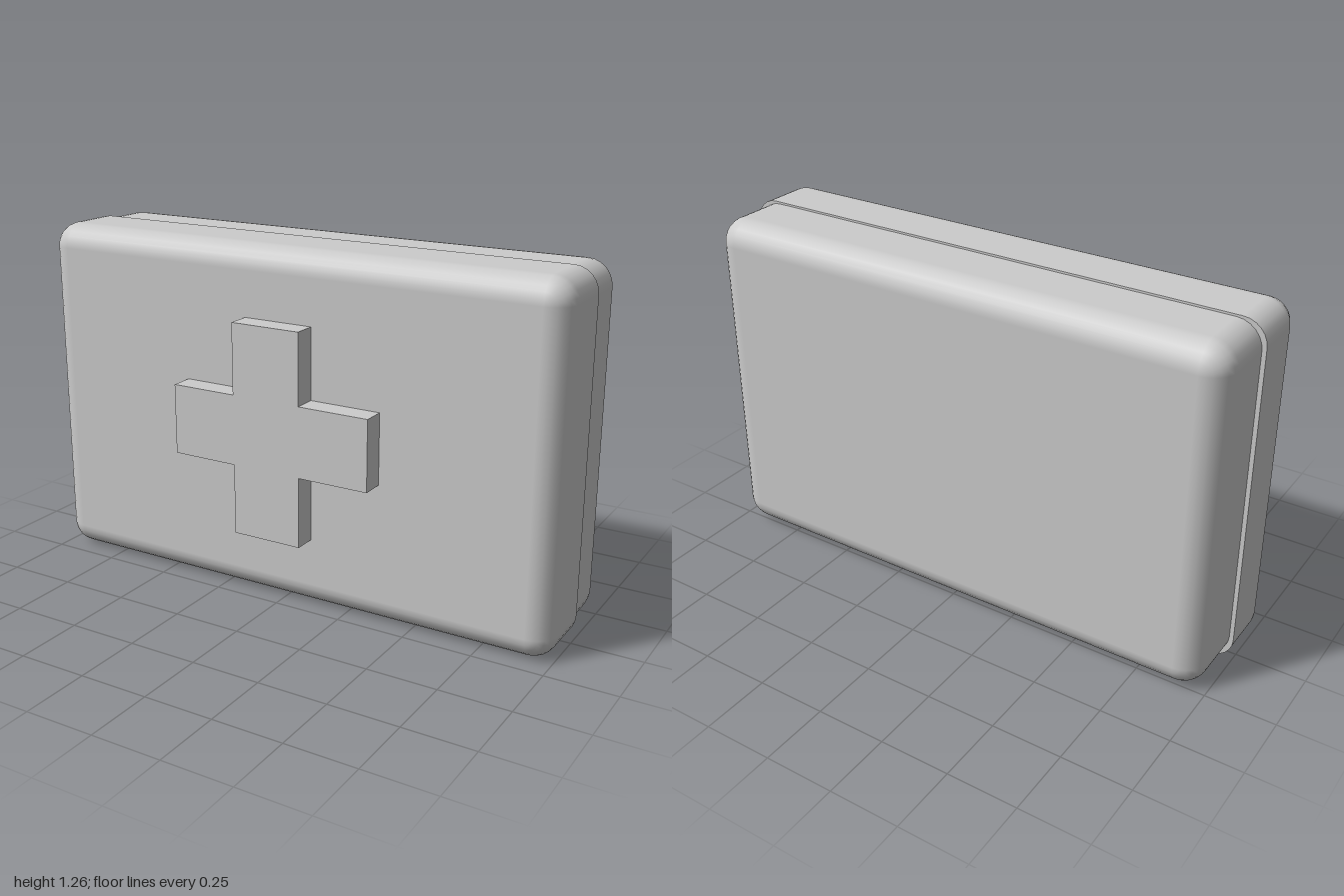
import * as THREE from 'three';

const material = new THREE.MeshStandardMaterial({ color: 0xcccccc });

// Half of a case: flat at z = 0, straight walls, rounded edges and corners at z = depth
function halfShell(name, width, height, depth, radius) {
  const steps = 6, position = [], normal = [], index = [];
  const cx = width / 2 - radius, cy = height / 2 - radius;
  const ring = 4 * (steps + 1);

  // One rounded-rectangle cross-section; tilt turns it from the wall (0) to the face (90 degrees)
  function addRing(z, tilt, flat) {
    for (let q = 0; q < 4; q++) {
      const sx = q === 0 || q === 3 ? 1 : -1, sy = q < 2 ? 1 : -1;
      for (let i = 0; i <= steps; i++) {
        const a = (q + i / steps) * Math.PI / 2;
        const nx = Math.cos(a) * Math.cos(tilt), ny = Math.sin(a) * Math.cos(tilt);
        position.push(sx * cx + radius * nx, sy * cy + radius * ny, z);
        normal.push(...(flat ? [0, 0, -1] : [nx, ny, Math.sin(tilt)]));
      }
    }
  }

  // Walls and rounded edge
  addRing(0, 0);
  for (let k = 0; k <= steps; k++) {
    const tilt = k / steps * Math.PI / 2;
    addRing(depth - radius + radius * Math.sin(tilt), tilt);
  }
  const last = steps + 1;
  for (let k = 0; k < last; k++) {
    for (let i = 0; i < ring; i++) {
      const a = k * ring + i, b = k * ring + (i + 1) % ring;
      index.push(a, b, b + ring, a, b + ring, a + ring);
    }
  }

  // Outer face and seam face, both fanned from a centre point
  addRing(0, 0, true);
  const seam = (last + 1) * ring, centre = seam + ring;
  position.push(0, 0, depth, 0, 0, 0);
  normal.push(0, 0, 1, 0, 0, -1);
  for (let i = 0; i < ring; i++) {
    const j = (i + 1) % ring;
    index.push(centre, last * ring + i, last * ring + j);
    index.push(centre + 1, seam + j, seam + i);
  }

  const geometry = new THREE.BufferGeometry();
  geometry.setAttribute('position', new THREE.Float32BufferAttribute(position, 3));
  geometry.setAttribute('normal', new THREE.Float32BufferAttribute(normal, 3));
  geometry.setIndex(index);
  const mesh = new THREE.Mesh(geometry, material);
  mesh.name = name;
  return mesh;
}

export function createModel() {
  const group = new THREE.Group();
  group.name = 'case';
  const seamZ = -0.04, midY = 0.63;

  // Slightly larger lid in front, base behind
  const lid = halfShell('lid', 2, 1.26, 0.25, 0.085);
  lid.position.set(0, midY, seamZ);
  const base = halfShell('base', 1.97, 1.245, 0.252, 0.09);
  base.rotation.y = Math.PI;
  base.position.set(0, midY, seamZ);
  group.add(lid, base);

  // Raised cross on the lid
  const outline = [
    [-0.14, 0.255], [0.12, 0.255], [0.12, 0.508], [0.38, 0.508], [0.38, 0.76], [0.12, 0.76],
    [0.12, 1.013], [-0.14, 1.013], [-0.14, 0.76], [-0.385, 0.76], [-0.385, 0.508], [-0.14, 0.508],
  ].map(([x, y]) => new THREE.Vector2(x, y));
  const cross = new THREE.Mesh(
    new THREE.ExtrudeGeometry(new THREE.Shape(outline), { depth: 0.092, bevelEnabled: false }),
    material,
  );
  cross.name = 'cross';
  cross.position.z = 0.2;
  group.add(cross);

  return group;
}
